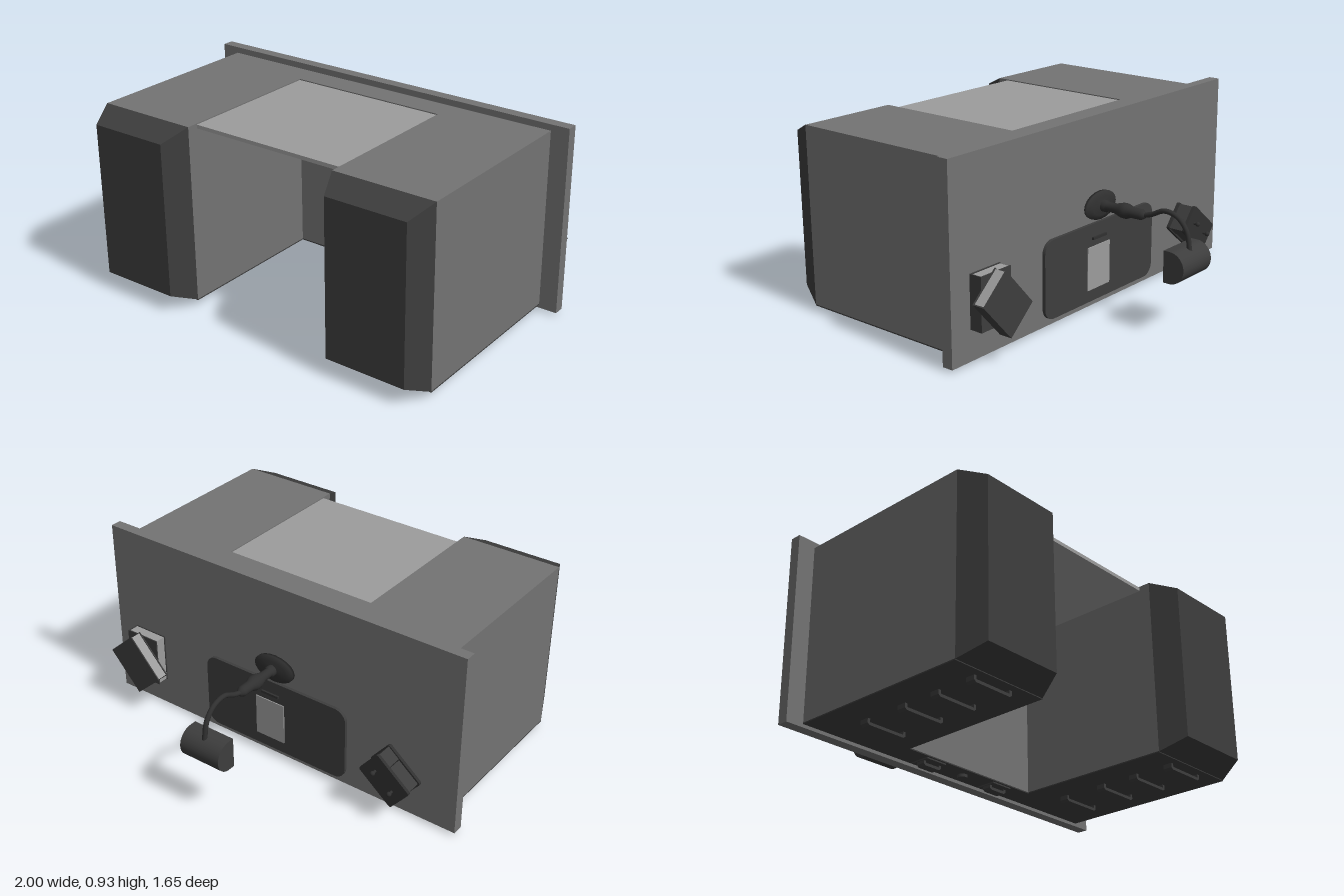
import * as THREE from 'three';

const mat = (name, color, side = THREE.FrontSide) => {
  const m = new THREE.MeshStandardMaterial({ color, side });
  m.name = name;
  return m;
};

export function createModel() {
  const root = new THREE.Group();
  root.name = 'desk';
  const body = mat('desk grey', 0x737373);
  const light = mat('light grey', 0x9c9c9c);
  const dark = mat('dark grey', 0x3d3d3d);
  const black = mat('near black', 0x303030);

  const add = (parent, name, geo, m) => {
    const mesh = new THREE.Mesh(geo, m);
    mesh.name = name;
    parent.add(mesh);
    return mesh;
  };
  // Box given by its limits on each axis
  const box = (parent, name, m, x0, x1, y0, y1, z0, z1) => {
    const mesh = add(parent, name, new THREE.BoxGeometry(x1 - x0, y1 - y0, z1 - z0), m);
    mesh.position.set((x0 + x1) / 2, (y0 + y1) / 2, (z0 + z1) / 2);
    return mesh;
  };
  // Rounded rectangle in xy, extruded along +z
  const roundedSlab = (w, h, r, depth) => {
    const s = new THREE.Shape();
    const a = w / 2 - r, b = h / 2 - r;
    s.absarc(a, b, r, 0, Math.PI / 2);
    s.absarc(-a, b, r, Math.PI / 2, Math.PI);
    s.absarc(-a, -b, r, Math.PI, Math.PI * 1.5);
    s.absarc(a, -b, r, Math.PI * 1.5, Math.PI * 2);
    return new THREE.ExtrudeGeometry(s, { depth, bevelEnabled: false, curveSegments: 6 });
  };
  // U-shaped pull hanging below the drawer fronts
  const pull = (name, x, z, w) => {
    const h = w / 2, s = new THREE.Shape();
    [[-h, 0.037], [-h, 0.015], [-h + 0.012, 0.006], [h - 0.012, 0.006], [h, 0.015], [h, 0.037],
      [h - 0.014, 0.037], [h - 0.014, 0.02], [-h + 0.014, 0.02], [-h + 0.014, 0.037]]
      .forEach(([px, py], i) => (i ? s.lineTo(px, py) : s.moveTo(px, py)));
    const geo = new THREE.ExtrudeGeometry(s, { depth: 0.045, bevelEnabled: false });
    add(root, name, geo, dark).position.set(x, 0, z - 0.0225);
  };

  // Desk body
  box(root, 'tabletop', body, -1, 1, 0.02, 0.94, -0.27, -0.215);
  box(root, 'topFrame', body, -0.4, 0.4, 0.042, 0.91, -0.215, -0.09);
  box(root, 'centreDrawerFront', dark, -0.4, 0.4, 0.036, 0.042, -0.215, -0.09);
  box(root, 'modestyPanel', light, -0.4, 0.4, 0.887, 0.905, -0.09, 0.645);
  for (const s of [-1, 1]) {
    const cx = s * 0.655;
    box(root, 'pedestal', body, cx - 0.255, cx + 0.255, 0.042, 0.91, -0.215, 0.7);
    box(root, 'drawerFronts', dark, cx - 0.255, cx + 0.255, 0.036, 0.042, -0.215, 0.7);
    // Foot narrows towards its free end
    const foot = new THREE.BoxGeometry(0.51, 0.87, 0.125);
    const p = foot.attributes.position;
    for (let i = 0; i < p.count; i++) {
      if (p.getZ(i) > 0) p.setXY(i, p.getX(i) * 0.79, p.getY(i) * 0.873);
    }
    foot.computeVertexNormals();
    add(root, 'taperedFoot', foot, dark).position.set(cx, 0.475, 0.7625);
    for (const z of [0.64, 0.44, 0.245, 0.015]) pull('drawerHandle', cx, z, 0.22);
    pull('centreHandle', s * 0.22, -0.15, 0.11);
    box(root, 'handlePlate', dark, s * 0.22 - 0.06, s * 0.22 + 0.06, 0.029, 0.037, -0.2, -0.1);
  }
  add(root, 'lock', new THREE.CylinderGeometry(0.025, 0.025, 0.016, 16), dark).position.set(0, 0.029, -0.15);

  // Writing pad with a paper sheet and pen
  add(root, 'deskPad', roundedSlab(0.82, 0.38, 0.06, 0.016), dark).position.set(0, 0.24, -0.286);
  box(root, 'paper', light, -0.06, 0.105, 0.11, 0.322, -0.291, -0.285);
  box(root, 'pen', black, -0.03, 0.07, 0.355, 0.367, -0.296, -0.285);

  // Lamp: its axis points away from the tabletop along -z
  const lamp = new THREE.Group();
  lamp.name = 'lamp';
  lamp.position.set(0, 0.507, -0.27);
  root.add(lamp);
  const lathe = (name, pts) => {
    const g = new THREE.LatheGeometry(pts.map(([r, y]) => new THREE.Vector2(r, y)), 20);
    g.rotateX(-Math.PI / 2);
    return add(lamp, name, g, black);
  };
  lathe('lampBase', [[0, 0], [0.068, 0], [0.068, 0.014], [0.045, 0.024], [0, 0.03]]).scale.x = 1.65;
  lathe('lampStem', [[0.028, 0.02], [0.028, 0.05], [0.022, 0.052], [0.024, 0.1], [0.036, 0.14],
    [0.036, 0.165], [0.026, 0.19], [0.025, 0.245], [0.014, 0.265], [0, 0.27]]);
  const neck = new THREE.CatmullRomCurve3([[0.505, -0.52], [0.52, -0.57], [0.55, -0.64], [0.535, -0.71],
    [0.48, -0.76], [0.39, -0.78]].map(([y, z]) => new THREE.Vector3(0, y - 0.507, z + 0.27)));
  add(lamp, 'lampNeck', new THREE.TubeGeometry(neck, 28, 0.012, 10), black);
  const d = new THREE.Shape();
  d.moveTo(0, -0.075);
  d.lineTo(0.032, -0.075);
  d.absarc(0.032, 0, 0.075, -Math.PI / 2, Math.PI / 2);
  d.lineTo(0, 0.075);
  const shade = new THREE.ExtrudeGeometry(d, { depth: 0.22, bevelEnabled: false, curveSegments: 18 });
  shade.translate(0, 0, -0.11);
  shade.rotateY(Math.PI / 2);
  add(lamp, 'lampShade', shade, dark).position.set(0, 0.335 - 0.507, -0.715 + 0.27);

  // Two stacked books, spine on the local +x side
  const book = (x, y, z, angle) => {
    const g = new THREE.Group();
    g.name = 'book';
    g.position.set(x, y, z);
    g.rotation.z = angle;
    root.add(g);
    box(g, 'pages', light, -0.09, 0.088, -0.122, 0.122, -0.059, -0.006);
    box(g, 'lowerCover', dark, -0.094, 0.094, -0.126, 0.126, -0.006, 0);
    box(g, 'upperCover', dark, -0.094, 0.094, -0.126, 0.126, -0.065, -0.059);
    box(g, 'spine', dark, 0.088, 0.094, -0.126, 0.126, -0.059, -0.006);
  };
  book(0.79, 0.293, -0.27, 0);
  book(0.787, 0.283, -0.337, -0.73);

  // Desk set: rounded plates around an inset body, with two knobs
  const set = new THREE.Group();
  set.name = 'deskSet';
  set.position.set(-0.688, 0.235, -0.27);
  set.rotation.z = 0.69;
  root.add(set);
  add(set, 'lowerPlate', roundedSlab(0.225, 0.15, 0.012, 0.016), black).position.z = -0.02;
  box(set, 'setFeet', black, -0.09, 0.09, -0.055, 0.055, -0.006, 0);
  box(set, 'setBody', dark, -0.104, 0.03, -0.066, 0.066, -0.098, -0.018);
  box(set, 'setDrawer', dark, 0.034, 0.106, -0.069, 0.069, -0.098, -0.018);
  add(set, 'upperPlate', roundedSlab(0.225, 0.15, 0.012, 0.016), black).position.z = -0.112;
  for (const s of [-1, 1]) {
    const stem = add(set, 'knobStem', new THREE.CylinderGeometry(0.007, 0.007, 0.03, 10), black);
    const knob = add(set, 'knob', new THREE.SphereGeometry(0.012, 12, 8), black);
    stem.rotation.x = Math.PI / 2;
    stem.position.set(s * 0.058, 0, -0.122);
    knob.position.set(s * 0.058, 0, -0.134);
  }
  return root;
}
